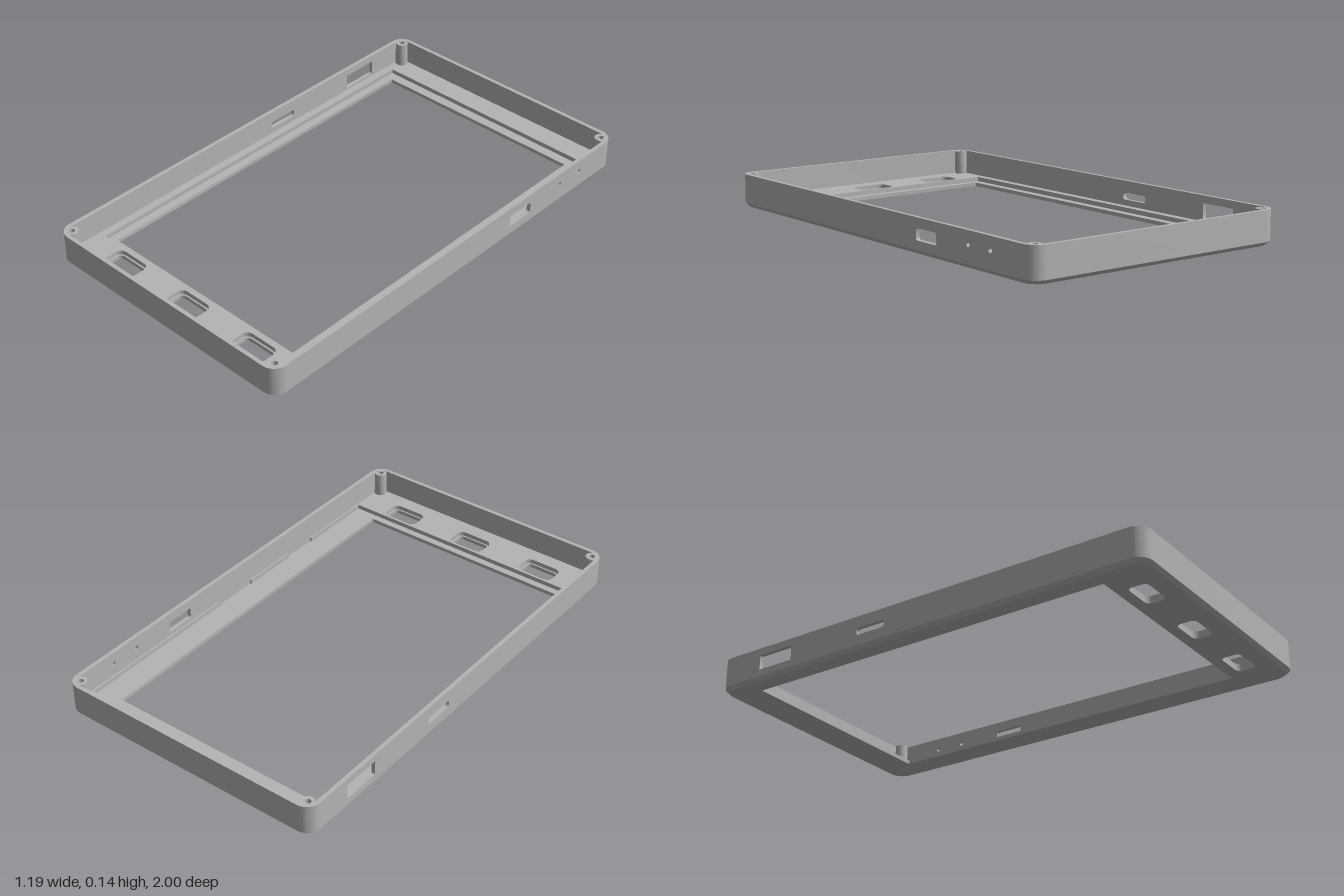
import * as THREE from 'three';
import { toCreasedNormals } from 'three/addons/utils/BufferGeometryUtils.js';

const W = 0.595, L = 1, R = 0.06, T = 0.017, TOP = 0.14;   // half width, half length, corner, wall, height
const BASE = 0.016, FLOOR = 0.035, CHAMFER = 0.014;

// Rounded rectangle between two corners, as a Shape or a hole Path
function rect(x0, y0, x1, y1, r, Type = THREE.Path) {
  const p = new Type();
  p.absarc(x1 - r, y0 + r, r, -Math.PI / 2, 0);
  p.absarc(x1 - r, y1 - r, r, 0, Math.PI / 2);
  p.absarc(x0 + r, y1 - r, r, Math.PI / 2, Math.PI);
  p.absarc(x0 + r, y0 + r, r, Math.PI, Math.PI * 1.5);
  p.closePath();
  return p;
}

const extrude = (shape, depth) =>
  new THREE.ExtrudeGeometry(shape, { depth, bevelEnabled: false, curveSegments: 8 });

// Plan shape (x, -z) raised from y0 to y1
const slab = (shape, y0, y1) =>
  extrude(shape, y1 - y0).rotateX(-Math.PI / 2).translate(0, y0, 0);

export function createModel() {
  const group = new THREE.Group();
  const grey = new THREE.MeshStandardMaterial({ color: 0xb4b4b4 });
  grey.name = 'grey plastic';

  function add(name, geometry) {
    const mesh = new THREE.Mesh(toCreasedNormals(geometry, 0.5), grey);
    mesh.name = name;
    group.add(mesh);
    return mesh;
  }

  const buttonXs = [-0.355, 0, 0.355];
  const buttonHoles = (hw, hh, r) =>
    buttonXs.map((x) => rect(x - hw, -0.871 - hh, x + hw, -0.871 + hh, r));

  // Bezel with screen window and button slots, chamfered around its lower outer edge
  const bezel = rect(-W, -L, W, L, R, THREE.Shape);
  bezel.holes.push(rect(-0.51, -0.782, 0.466, 0.844, 0.006), ...buttonHoles(0.074, 0.041, 0.022));
  const bezelGeo = slab(bezel, 0, BASE);
  const pos = bezelGeo.attributes.position;
  for (let i = 0; i < pos.count; i++) {
    const x = pos.getX(i), z = pos.getZ(i);
    if (pos.getY(i) < 0.001 && (Math.abs(x) > 0.53 || Math.abs(z) > 0.935)) {
      pos.setX(i, x * (1 - CHAMFER / W));
      pos.setZ(i, z * (1 - CHAMFER / L));
    }
  }
  add('bezel', bezelGeo);

  // Inner floor around the screen recess, with two notches along the right edge
  const floor = rect(-W, -L, W, L, R, THREE.Shape);
  const recess = new THREE.Path();
  const edge = 0.571, notch = W - T;
  recess.setFromPoints([
    [-0.545, -0.812], [edge, -0.812], [edge, -0.47], [notch, -0.47], [notch, -0.31], [edge, -0.31],
    [edge, -0.06], [notch, -0.06], [notch, 0.14], [edge, 0.14], [edge, 0.886], [-0.545, 0.886],
  ].map(([x, y]) => new THREE.Vector2(x, y)));
  recess.closePath();
  floor.holes.push(recess, ...buttonHoles(0.082, 0.048, 0.028));
  add('floor', slab(floor, BASE, FLOOR));

  // End walls with rounded corners
  const end = new THREE.Shape();
  const cx = W - R, cy = L - R;
  end.absarc(cx, cy, R, 0, Math.PI / 2, false);
  end.absarc(-cx, cy, R, Math.PI / 2, Math.PI, false);
  end.absarc(-cx, cy, R - T, Math.PI, Math.PI / 2, true);
  end.absarc(cx, cy, R - T, Math.PI / 2, 0, true);
  end.closePath();
  add('backWall', slab(end, FLOOR, TOP));
  add('frontWall', slab(end, FLOOR, TOP).rotateY(Math.PI));

  // Side walls, drawn as (z, y), with port openings
  function sideWall(name, outerX, holes) {
    const wall = new THREE.Shape();
    wall.moveTo(-cy, FLOOR).lineTo(cy, FLOOR).lineTo(cy, TOP).lineTo(-cy, TOP).closePath();
    wall.holes.push(...holes);
    add(name, extrude(wall, T).rotateY(-Math.PI / 2).translate(outerX, 0, 0));
  }
  const pinHoles = [-0.633, -0.762].map((z) =>
    new THREE.Path().absarc(z, 0.088, 0.01, 0, Math.PI * 2));
  sideWall('portWallPlusX', W, [rect(-0.441, 0.053, -0.313, 0.1, 0.008), ...pinHoles]);
  sideWall('portWallMinusX', -W + T, [
    rect(-0.785, 0.046, -0.62, 0.109, 0.002),
    rect(-0.285, 0.06, -0.15, 0.09, 0.01),
  ]);

  // Screw posts in the corners
  const post = new THREE.Shape().absarc(0, 0, 0.027, 0, Math.PI * 2);
  post.holes.push(new THREE.Path().absarc(0, 0, 0.012, 0, Math.PI * 2));
  for (const sx of [-1, 1]) {
    for (const sz of [-1, 1]) {
      add('screwPost', slab(post, FLOOR, TOP - 0.001)).position.set(sx * 0.556, 0, sz * 0.96);
    }
  }
  return group;
}
